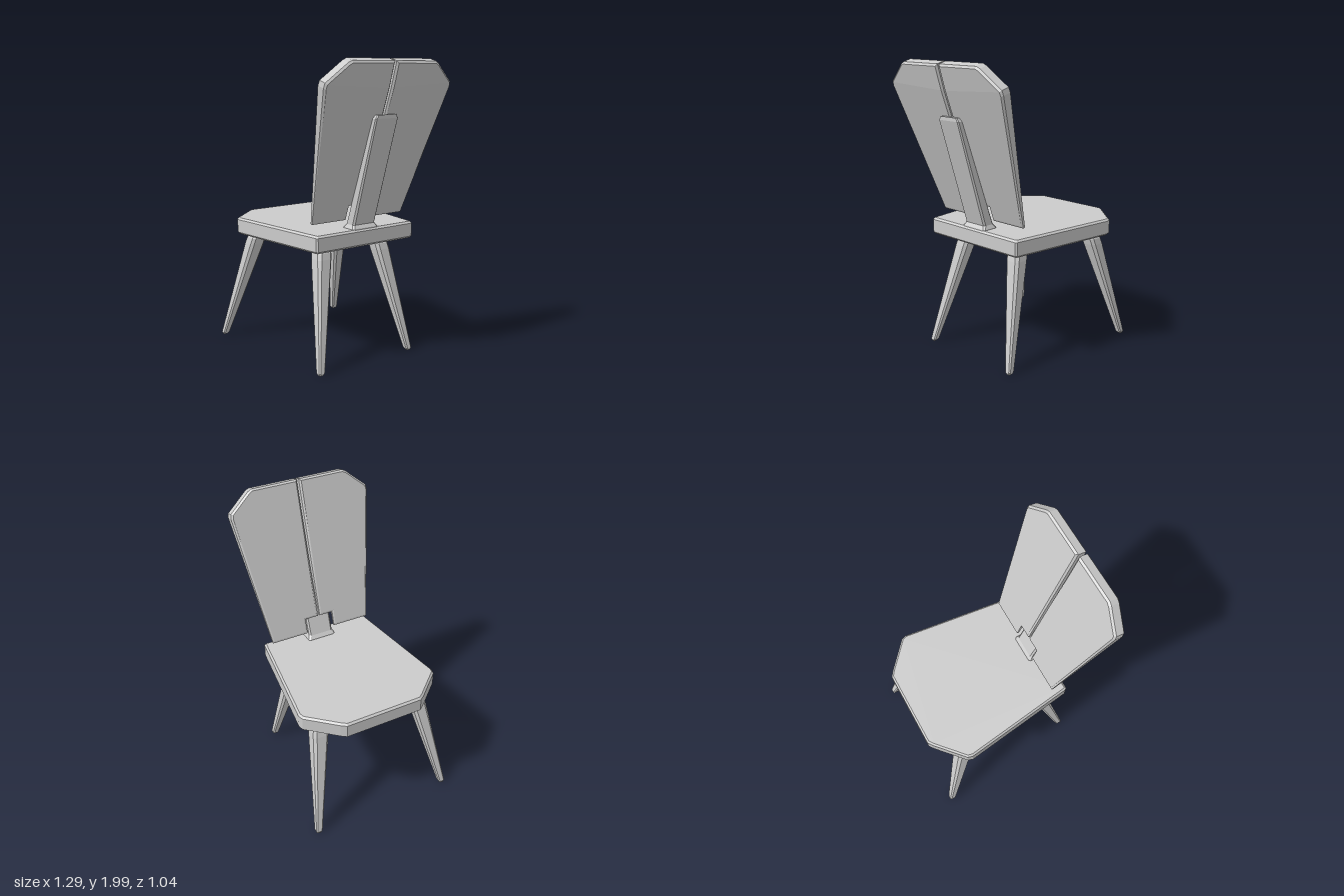
import * as THREE from 'three';

const material = new THREE.MeshStandardMaterial({ color: 0xcccccc, flatShading: true });
const MID = -0.015; // z of the seat's centre line
const lerp = THREE.MathUtils.lerp;

function addMesh(parent, name, geometry) {
  const mesh = new THREE.Mesh(geometry, material);
  mesh.name = name;
  parent.add(mesh);
  return mesh;
}

// Rectangle with cut corners, as eight points at one height
function ring([x, y, z, hx, hz, cut]) {
  return [
    [hx, -hz + cut], [hx, hz - cut], [hx - cut, hz], [-hx + cut, hz],
    [-hx, hz - cut], [-hx, -hz + cut], [-hx + cut, -hz], [hx - cut, -hz],
  ].map(([dx, dz]) => [x + dx, y, z + dz]);
}

// Closed faceted solid through rings listed from bottom to top
function loft(sections) {
  const rings = sections.map(ring);
  const out = [];
  const tri = (a, b, c) => out.push(...a, ...b, ...c);
  const n = 8;
  for (let i = 0; i < rings.length - 1; i++) {
    const lo = rings[i], hi = rings[i + 1];
    for (let j = 0; j < n; j++) {
      const k = (j + 1) % n;
      tri(lo[j], hi[j], lo[k]);
      tri(lo[k], hi[j], hi[k]);
    }
  }
  const bottom = rings[0], top = rings[rings.length - 1];
  for (let j = 1; j < n - 1; j++) {
    tri(bottom[0], bottom[j], bottom[j + 1]);
    tri(top[0], top[j + 1], top[j]);
  }
  const geometry = new THREE.BufferGeometry();
  geometry.setAttribute('position', new THREE.Float32BufferAttribute(out, 3));
  geometry.computeVertexNormals();
  return geometry;
}

function polygon(points) {
  return new THREE.Shape(points.map(([x, y]) => new THREE.Vector2(x, y)));
}

function seatGeometry() {
  const bevel = 0.013;
  const shape = polygon([
    [-0.64, MID - 0.27], [-0.615, MID - 0.305], [-0.45, MID - 0.49], [-0.415, MID - 0.5],
    [0.37, MID - 0.4], [0.38, MID - 0.39], [0.38, MID + 0.39], [0.37, MID + 0.4],
    [-0.415, MID + 0.5], [-0.45, MID + 0.49], [-0.615, MID + 0.305], [-0.64, MID + 0.27],
  ]);
  const geometry = new THREE.ExtrudeGeometry(shape, {
    depth: 0.115 - 2 * bevel, bevelSize: bevel, bevelThickness: bevel,
    bevelOffset: -bevel, bevelSegments: 1,
  });
  return geometry.rotateX(Math.PI / 2).translate(0, 0.91 - bevel, 0);
}

// Half of the backrest: a bevelled outline, leaned back and thinned toward the bottom
function panelGeometry(side) {
  const outline = [
    [0.105, 0.97], [0.37, 0.97], [0.5, 1.84], [0.495, 1.87], [0.355, 1.985],
    [0.33, 1.997], [0.007, 1.997], [0.007, 1.84], [0.007, 1.07], [0.105, 1.07],
  ];
  const geometry = new THREE.ExtrudeGeometry(polygon(outline.map(([u, v]) => [u * side, v])), {
    depth: 0.7, bevelSize: 0.012, bevelThickness: 0.15, bevelOffset: -0.012, bevelSegments: 1,
  });
  const p = geometry.attributes.position;
  for (let i = 0; i < p.count; i++) {
    const y = p.getY(i), t = p.getZ(i) + 0.15;
    const rise = (y - 0.97) / 1.027;
    const thickness = lerp(0.022, 0.08, Math.min(1, (y - 0.97) / 0.87)) * t;
    p.setXYZ(i,
      lerp(0.267, 0.569, rise) + thickness * 0.96,
      y - thickness * 0.28,
      MID - p.getX(i));
  }
  geometry.computeVertexNormals();
  return geometry;
}

function legGeometry(topX, topZ, footX, footZ) {
  const at = (y, half) => {
    const t = y / 0.735;
    return [lerp(footX, topX, t), y, lerp(footZ, topZ, t), half, half, half * 0.35];
  };
  return loft([at(0.005, 0.014), at(0.02, 0.023), at(0.715, 0.055), at(0.755, 0.054), at(0.805, 0.036)]);
}

export function createModel() {
  const chair = new THREE.Group();
  chair.name = 'chair';

  addMesh(chair, 'seat', seatGeometry());

  // Backrest: two mirrored panels on a central post with a flared foot
  const backrest = new THREE.Group();
  backrest.name = 'backrest';
  chair.add(backrest);
  addMesh(backrest, 'leftBackPanel', panelGeometry(1));
  addMesh(backrest, 'rightBackPanel', panelGeometry(-1));
  addMesh(backrest, 'backPost', loft([
    [0.31, 0.9, MID, 0.06, 0.105, 0.012],
    [0.31, 0.915, MID, 0.058, 0.102, 0.012],
    [0.311, 0.937, MID, 0.042, 0.09, 0.012],
    [0.545, 1.632, MID, 0.021, 0.09, 0.008],
    [0.551, 1.655, MID, 0.015, 0.075, 0.006],
  ]));

  // Four splayed, tapering legs
  for (const side of [1, -1]) {
    const name = side > 0 ? 'Near' : 'Far';
    addMesh(chair, 'frontLeg' + name, legGeometry(-0.42, MID + side * 0.366, -0.635, side * 0.5));
    addMesh(chair, 'rearLeg' + name, legGeometry(0.21, MID + side * 0.244, 0.402, side * 0.375));
  }
  return chair;
}
